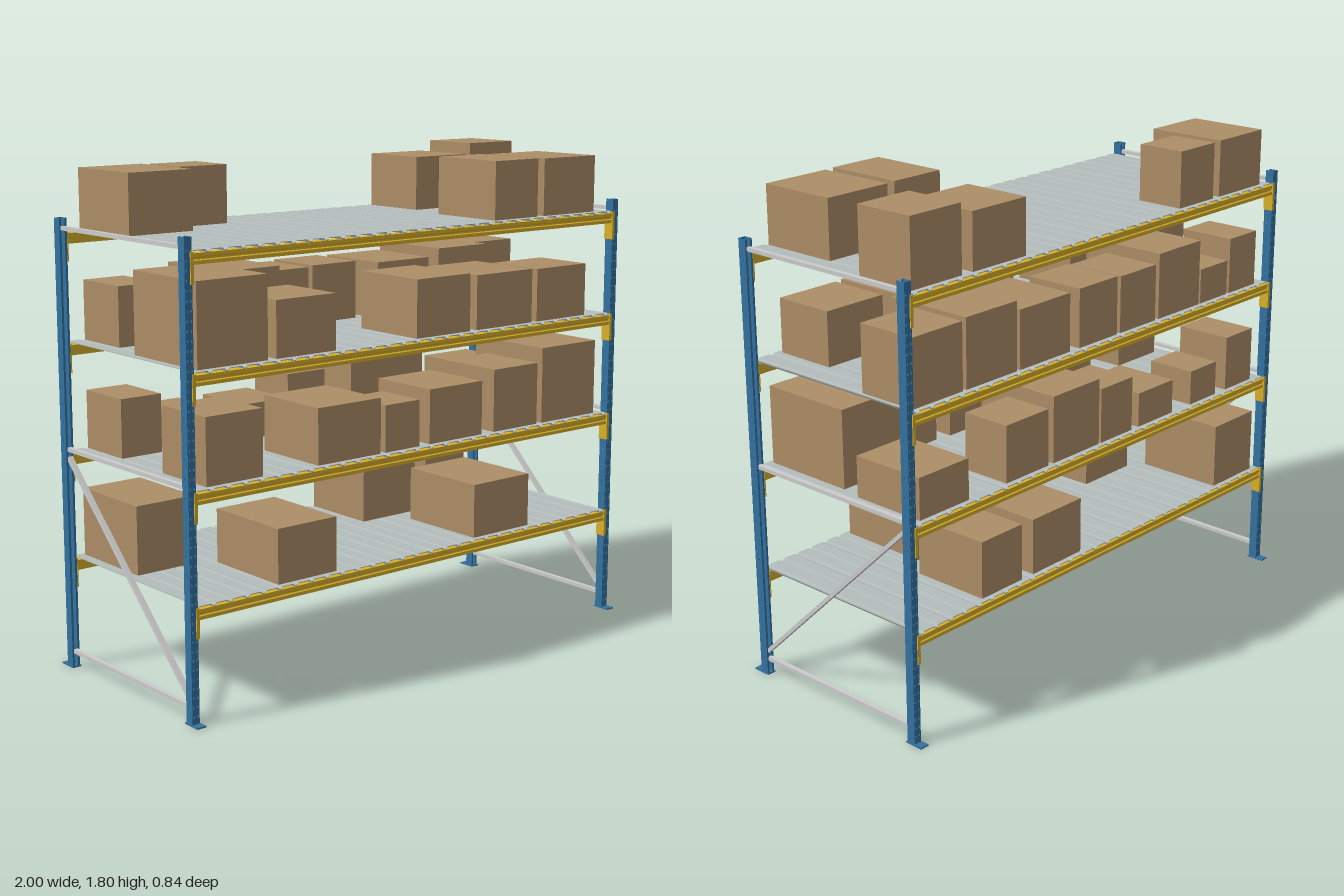
import * as THREE from 'three';
import { mergeGeometries } from 'three/addons/utils/BufferGeometryUtils.js';

const mat = (color) => new THREE.MeshStandardMaterial({ color });
const BLUE = mat(0x33719f), YELLOW = mat(0xd8b02a), STEEL = mat(0xcccccc), CARD = mat(0xad8d67);
const DECK = mat(0xb4bcbc);
const POST_H = 1.61;
const LEVELS = [0.404, 0.79, 1.178, 1.567]; // deck tops

function mesh(name, geometry, material, parent) {
  const m = new THREE.Mesh(geometry, material);
  m.name = name;
  parent.add(m);
  return m;
}

// Box given by its limits on each axis
function span(x0, x1, y0, y1, z0, z1) {
  return new THREE.BoxGeometry(x1 - x0, y1 - y0, z1 - z0)
    .translate((x0 + x1) / 2, (y0 + y1) / 2, (z0 + z1) / 2);
}

function polygon(points) {
  return new THREE.Shape(points.map(([x, y]) => new THREE.Vector2(x, y)));
}

function extrude(shape, depth) {
  return new THREE.ExtrudeGeometry(shape, { depth, bevelEnabled: false, curveSegments: 4 });
}

// Upright strip of sheet metal with rows of punched holes
function punchedStrip(width, columns, radius, pitch) {
  const w = width / 2;
  const shape = polygon([[-w, 0], [w, 0], [w, POST_H], [-w, POST_H]]);
  for (let y = pitch; y < POST_H - pitch / 2; y += pitch) {
    for (const x of columns) {
      const hole = new THREE.Path();
      hole.absellipse(x, y, radius, radius * 1.5, 0, Math.PI * 2, true);
      shape.holes.push(hole);
    }
  }
  return extrude(shape, 0.003);
}

// Open channel: punched web facing outwards, two flanges, two lips
function postGeometry() {
  const web = punchedStrip(0.029, [-0.008, 0.008], 0.0032, 0.032).translate(0, 0, 0.014);
  const parts = [web];
  for (const s of [-1, 1]) {
    parts.push(punchedStrip(0.031, [0.002], 0.002, 0.064).rotateY(Math.PI / 2)
      .translate(s * 0.013 - 0.0015, 0, -0.0015));
    const lip = span(-0.004, 0.004, 0, POST_H, -0.017, -0.014).translate(s * 0.0105, 0, 0);
    parts.push(lip.toNonIndexed());
  }
  return mergeGeometries(parts.map((g) => (g.index ? g.toNonIndexed() : g)));
}

// Ribbed deck plank, running front to back
function plankGeometry(width) {
  const top = [], ribs = 2, step = width / ribs;
  for (let i = 0; i < ribs; i++) {
    const x = -width / 2 + i * step;
    top.push([x, 0], [x + step * 0.7, 0], [x + step * 0.76, -0.007], [x + step * 0.94, -0.007]);
  }
  top.push([width / 2, 0]);
  const bottom = top.map(([x, y]) => [x, y - 0.003]).reverse();
  return extrude(polygon([...bottom.reverse(), ...top.reverse()]), 0.77).translate(0, 0, -0.385);
}

// Round-edged brace between two (y, z) points in the plane of an end frame
function brace(name, x, y0, z0, y1, z1, parent) {
  const length = Math.hypot(y1 - y0, z1 - z0);
  const b = mesh(name, new THREE.BoxGeometry(0.018, 0.014, length), STEEL, parent);
  b.position.set(x, (y0 + y1) / 2, (z0 + z1) / 2);
  b.rotation.x = -Math.atan2(y1 - y0, z1 - z0);
}

// Cartons per level, front row then back row: x0, x1, top, depth
const CARTONS = [
  {
    front: [[-0.62, -0.366, 0.6, 0.35], [0.288, 0.567, 0.605, 0.35]],
    back: [[-0.925, -0.685, 0.65, 0.34], [0.123, 0.38, 0.612, 0.3], [0.438, 0.64, 0.615, 0.3]],
  },
  {
    front: [[-0.91, -0.68, 1.023, 0.25], [-0.445, -0.166, 0.99, 0.3], [-0.145, 0.015, 0.96, 0.2],
      [0.064, 0.32, 0.99, 0.28], [0.38, 0.604, 1.023, 0.27], [0.63, 0.914, 1.075, 0.36]],
    back: [[-0.9, -0.735, 1.0, 0.22], [-0.67, -0.513, 0.922, 0.19], [-0.4, -0.2, 0.92, 0.25],
      [-0.16, 0.015, 0.995, 0.2], [0.027, 0.273, 1.037, 0.34], [0.3, 0.515, 1.0, 0.19],
      [0.7, 0.93, 0.94, 0.29]],
  },
  {
    front: [[-0.938, -0.655, 1.465, 0.36], [-0.62, -0.366, 1.375, 0.26], [0, 0.255, 1.388, 0.3],
      [0.288, 0.567, 1.378, 0.3], [0.594, 0.85, 1.375, 0.235]],
    back: [[-0.9, -0.735, 1.39, 0.22], [-0.72, -0.555, 1.31, 0.2], [-0.545, -0.303, 1.423, 0.34],
      [-0.283, -0.083, 1.388, 0.23], [-0.065, 0.14, 1.393, 0.23], [0.19, 0.445, 1.39, 0.3],
      [0.46, 0.705, 1.425, 0.34], [0.722, 0.95, 1.417, 0.23]],
  },
  {
    front: [[0.372, 0.587, 1.78, 0.3], [0.62, 0.887, 1.778, 0.3]],
    back: [[-0.908, -0.65, 1.778, 0.31], [-0.613, -0.415, 1.776, 0.185], [0.415, 0.67, 1.767, 0.26],
      [0.72, 0.947, 1.805, 0.23]],
  },
];

export function createModel() {
  const model = new THREE.Group();
  model.name = 'palletRack';

  // Uprights and feet at the four corners
  const post = postGeometry();
  for (const sx of [-1, 1]) {
    for (const sz of [-1, 1]) {
      const corner = new THREE.Group();
      corner.name = 'upright';
      corner.position.set(sx * 0.9825, 0, sz * 0.371);
      corner.rotation.y = sz > 0 ? 0 : Math.PI;
      mesh('post', post, BLUE, corner);
      mesh('footPlate', span(-0.0175, 0.0175, 0, 0.005, -0.021, 0.049), BLUE, corner);
      model.add(corner);
    }
    // End frame braces
    const x = sx * 0.9825;
    for (const y of [0.06, 0.8, 1.576]) brace('crossBrace', x, y, -0.356, y, 0.356, model);
    brace('diagonalBrace', x, 0.77, -0.356, 0.09, 0.356, model);
  }

  // Step beam section as (-z, y), with a groove along its outer face
  const beam = extrude(polygon([
    [-0.388, -0.046], [-0.352, -0.046], [-0.352, -0.01], [-0.388, -0.01],
    [-0.388, -0.022], [-0.383, -0.025], [-0.383, -0.031], [-0.388, -0.034],
  ]), 1.932).rotateY(Math.PI / 2).translate(-0.966, 0, 0);
  const planks = 14, pitch = 1.92 / planks;
  const plank = plankGeometry(pitch - 0.003);

  LEVELS.forEach((y, level) => {
    const shelf = new THREE.Group();
    shelf.name = 'shelf';
    shelf.position.y = y;
    model.add(shelf);

    // Front and back beams with their end connectors
    for (const turn of [0, Math.PI]) {
      const side = new THREE.Group();
      side.name = 'beamAssembly';
      side.rotation.y = turn;
      shelf.add(side);
      mesh('beam', beam, YELLOW, side);
      for (const s of [-1, 1]) {
        const clip = new THREE.Group();
        clip.name = 'beamConnector';
        clip.position.x = s * 0.966;
        side.add(clip);
        mesh('connectorPlate', span(-0.002, 0.002, -0.108, -0.004, 0.352, 0.391), YELLOW, clip);
        mesh('connectorFlange', span(-0.006, 0.006, -0.108, -0.004, 0.388, 0.392), YELLOW, clip)
          .position.x = s * 0.004;
      }
    }

    // Deck planks
    for (let i = 0; i < planks; i++) {
      mesh('deckPlank', plank, DECK, shelf).position.x = (i + 0.5) * pitch - 0.96;
    }

    // Cartons, lined up on the front and back edges
    for (const [x0, x1, top, depth] of CARTONS[level].front) {
      mesh('carton', span(x0, x1, 0.001, top - y, 0.365 - depth, 0.365), CARD, shelf);
    }
    for (const [x0, x1, top, depth] of CARTONS[level].back) {
      mesh('carton', span(x0, x1, 0.001, top - y, -0.367, -0.367 + depth), CARD, shelf);
    }
  });
  return model;
}
